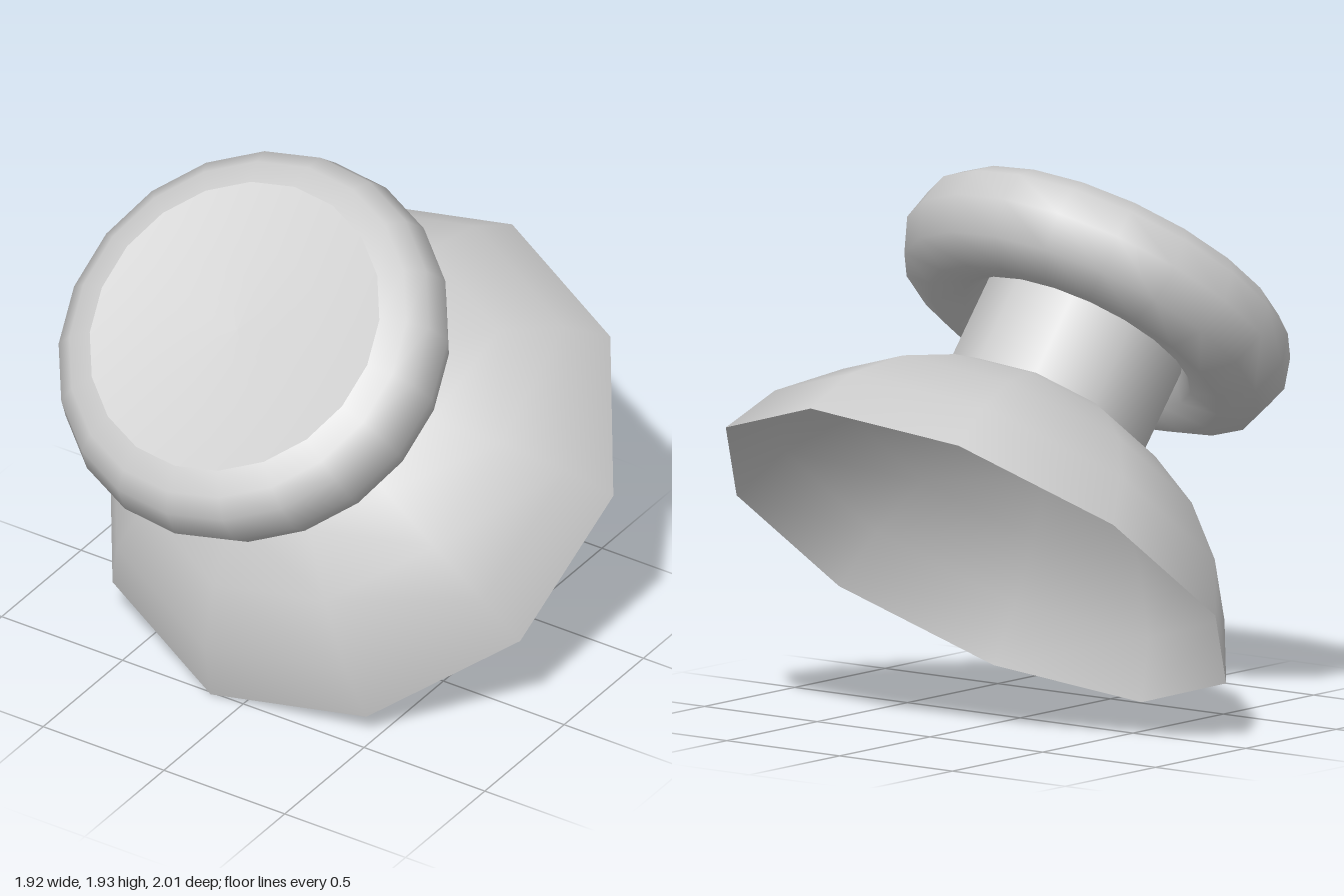
import * as THREE from 'three';

const material = new THREE.MeshStandardMaterial({ color: 0xcccccc, side: THREE.DoubleSide });

// Surface of revolution from [radius, height] pairs listed bottom to top
function lathe(name, profile, sides, phaseDeg) {
  const points = profile.map(([r, y]) => new THREE.Vector2(r, y));
  const geometry = new THREE.LatheGeometry(points, sides, THREE.MathUtils.degToRad(phaseDeg));
  const mesh = new THREE.Mesh(geometry, material);
  mesh.name = name;
  return mesh;
}

export function createModel() {
  const model = new THREE.Group();
  model.name = 'tiltedKnob';

  // Everything shares one axis, leaning forward with the rim centre as its origin
  const body = new THREE.Group();
  body.name = 'body';
  body.position.set(0, 0.605, -0.245);
  body.rotation.set(THREE.MathUtils.degToRad(38.4), 0, 0.02);
  model.add(body);

  // Thin hollow dome, open below and at the neck
  body.add(lathe('dome', [
    [0.976, 0], [0.877, 0.203], [0.695, 0.388], [0.482, 0.523], [0.372, 0.572],
  ], 10, -7.5));

  // Hollow neck and the plate closing its upper end
  body.add(lathe('neck', [[0.372, 0.565], [0.372, 1.0]], 10, -7.5));
  body.add(lathe('neckPlate', [[0.4, 1.02], [0, 1.02]], 10, -7.5));

  // Rounded ring of the cap
  body.add(lathe('capRing', [
    [0.36, 0.96], [0.43, 0.868], [0.548, 0.838], [0.673, 0.9], [0.718, 1.026],
    [0.69, 1.14], [0.628, 1.197], [0.54, 1.228],
  ], 20, 3));

  // Slightly dished top face
  body.add(lathe('capFace', [[0.54, 1.228], [0.3, 1.206], [0, 1.2]], 20, 3));

  return model;
}
